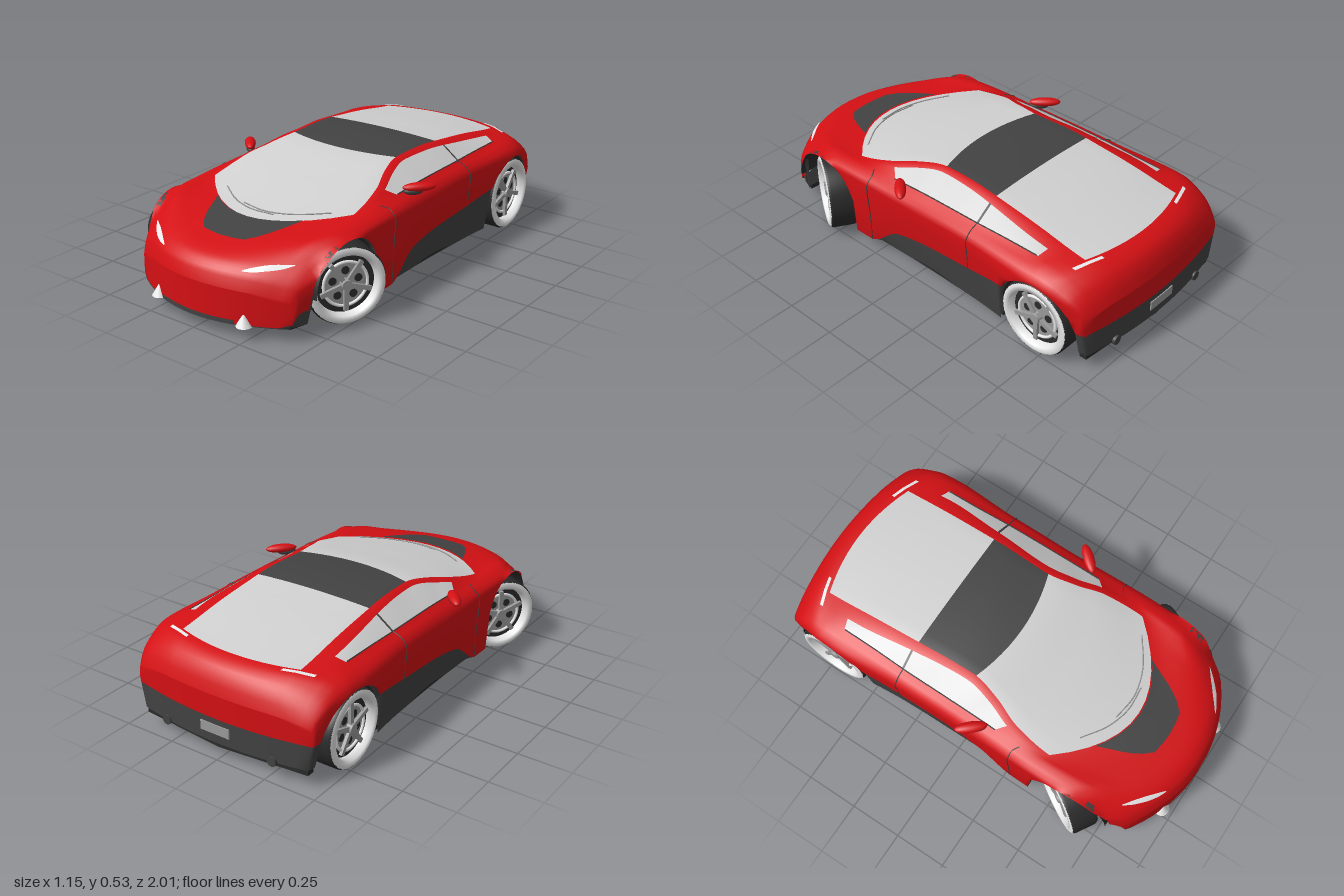
import * as THREE from 'three';

const mat = (name, color) => {
  const m = new THREE.MeshStandardMaterial({ color, side: THREE.DoubleSide });
  m.name = name;
  return m;
};
const paint = mat('red paint', 0xd41014);
const glass = mat('pale glass', 0xd0d0d0);
const trim = mat('dark trim', 0x424242);
const rubber = mat('black rubber', 0x2b2b2b);
const white = mat('white', 0xeeeeee);
const metal = mat('grey metal', 0x9a9a9a);

// Smooth curve without overshoot through [s, value] pairs
function curve(...p) {
  const d = p.slice(1).map((b, i) => (b[1] - p[i][1]) / (b[0] - p[i][0]));
  const m = p.map((_, i) => {
    if (i === 0) return d[0];
    if (i === p.length - 1) return d[i - 1];
    return d[i - 1] * d[i] <= 0 ? 0 : (2 * d[i - 1] * d[i]) / (d[i - 1] + d[i]);
  });
  return (s) => {
    if (s <= p[0][0]) return p[0][1];
    if (s >= p[p.length - 1][0]) return p[p.length - 1][1];
    const i = p.findIndex((q) => q[0] > s) - 1;
    const h = p[i + 1][0] - p[i][0], t = (s - p[i][0]) / h, u = 1 - t;
    return u * u * (1 + 2 * t) * p[i][1] + t * u * u * h * m[i]
      + t * t * (3 - 2 * t) * p[i + 1][1] - t * t * u * h * m[i + 1];
  };
}

// Body lines along the length: how far each section bows, then x and y of each line
const bow = curve([-1, -0.045], [-0.87, -0.1], [-0.6, -0.03], [-0.33, 0], [0.02, 0.1], [0.3, 0.2], [0.65, 0.26], [0.8, 0.2], [1, 0.14]);
const crownY = curve([-1, 0.31], [-0.985, 0.36], [-0.95, 0.415], [-0.9, 0.44], [-0.85, 0.45], [-0.45, 0.506], [-0.18, 0.527], [0.02, 0.515], [0.3, 0.46], [0.65, 0.378], [0.81, 0.345], [0.93, 0.315], [0.985, 0.27], [1, 0.22]);
const railX = curve([-1, 0.3], [-0.87, 0.31], [-0.33, 0.3], [0, 0.29], [0.2, 0.32], [0.42, 0.37], [0.65, 0.39], [0.8, 0.36], [1, 0.28]);
const railY = curve([-1, 0.305], [-0.985, 0.355], [-0.95, 0.41], [-0.9, 0.44], [-0.85, 0.446], [-0.45, 0.497], [-0.18, 0.518], [0.02, 0.514], [0.3, 0.478], [0.65, 0.408], [0.81, 0.375], [0.93, 0.315], [0.985, 0.26], [1, 0.21]);
const sillX = curve([-1, 0.36], [-0.87, 0.37], [-0.65, 0.37], [-0.33, 0.345], [0, 0.325], [0.2, 0.35], [0.42, 0.395], [0.65, 0.415], [0.8, 0.4], [1, 0.33]);
const sillY = curve([-1, 0.3], [-0.985, 0.345], [-0.95, 0.4], [-0.9, 0.432], [-0.85, 0.44], [-0.45, 0.485], [-0.18, 0.506], [0.02, 0.505], [0.3, 0.468], [0.65, 0.41], [0.81, 0.388], [0.93, 0.31], [0.985, 0.25], [1, 0.2]);
const beltX = curve([-1, 0.41], [-0.87, 0.42], [-0.65, 0.415], [-0.33, 0.425], [0.42, 0.43], [0.65, 0.435], [0.8, 0.43], [1, 0.38]);
const beltY = curve([-1, 0.29], [-0.985, 0.335], [-0.95, 0.39], [-0.9, 0.425], [-0.8, 0.438], [-0.33, 0.438], [0.1, 0.435], [0.42, 0.425], [0.65, 0.412], [0.81, 0.39], [0.93, 0.31], [0.985, 0.24], [1, 0.19]);
const flankX = curve([-1, 0.455], [-0.95, 0.485], [-0.87, 0.505], [-0.7, 0.511], [-0.33, 0.496], [0.1, 0.496], [0.65, 0.501], [0.8, 0.497], [0.9, 0.485], [0.95, 0.465], [1, 0.41]);
const flankY = curve([-1, 0.27], [-0.985, 0.3], [-0.95, 0.34], [-0.85, 0.38], [-0.33, 0.38], [0.2, 0.37], [0.65, 0.37], [0.81, 0.36], [0.93, 0.27], [0.985, 0.22], [1, 0.175]);
const doorX = curve([-1, 0.46], [-0.87, 0.505], [-0.7, 0.51], [-0.33, 0.49], [0.1, 0.485], [0.8, 0.495], [0.9, 0.487], [1, 0.42]);
const skirtY = curve([-1, 0.2], [-0.88, 0.2], [-0.55, 0.255], [-0.34, 0.23], [-0.02, 0.2], [0.11, 0.175], [0.29, 0.06], [0.7, 0.07], [0.75, 0.13], [0.82, 0.13], [0.88, 0.066], [1, 0.066]);
const bottomY = curve([-1, 0.085], [-0.9, 0.075], [-0.55, 0.05], [0.3, 0.055], [1, 0.062]);

const AXLES = [{ z: 0.585, r: 0.2 }, { z: -0.71, r: 0.19 }];
const archY = (z) => Math.max(...AXLES.map((a) => {
  const d = Math.abs(z - a.z);
  return d < a.r ? 0.175 + Math.sqrt(a.r * a.r - d * d) : 0;
}));
const zAt = (s, x) => s - bow(s) * (Math.min(x, 0.45) / 0.42) ** 2;

// Half section from the centre line to the bottom edge; f narrows it to close the ends
function section(s, f = 1) {
  const pts = [];
  const xi = railX(s), yc = crownY(s), yi = railY(s);
  for (let i = 0; i <= 6; i++) pts.push([xi * i / 6, yc + (yi - yc) * (i / 6) ** 2]);
  const bx = beltX(s), by = beltY(s), fx = flankX(s), fy = flankY(s);
  pts.push([sillX(s), sillY(s)], [bx, by]);
  const cx = bx + (fx - bx) * 0.8, cy = by + (fy - by) * 0.25;
  for (const t of [1 / 3, 2 / 3, 1]) {
    const u = 1 - t;
    pts.push([u * u * bx + 2 * u * t * cx + t * t * fx, u * u * by + 2 * u * t * cy + t * t * fy]);
  }
  const dx = doorX(s), ky = skirtY(zAt(s, dx * f));
  pts.push([dx, (fy + ky) / 2], [dx - 0.005, ky], [dx - 0.03, Math.min(bottomY(s), ky)]);
  return pts.map(([x, y], h) => {
    const z = zAt(s, x * f);
    return [x * f, h > 8 ? Math.max(y, archY(z)) : y, z];
  });
}
// Point on the shell at station s and signed column q, slightly raised
function onShell(s, q, lift = 0.004) {
  const pts = section(s), a = Math.abs(q), i = Math.min(Math.floor(a), pts.length - 2), t = a - i;
  const p = pts[i].map((v, k) => v + (pts[i + 1][k] - v) * t);
  return new THREE.Vector3((q < 0 ? -1 : 1) * p[0], p[1] + lift, p[2] + lift * Math.sign(s) * 0.7);
}

export function createModel() {
  const car = new THREE.Group();
  car.name = 'sports car';
  const add = (name, geo, material, parent = car) => {
    const m = new THREE.Mesh(geo, material);
    m.name = name;
    parent.add(m);
    return m;
  };

  // Body shell: one lofted surface whose panels share smooth normals
  const rows = [], N = 160, CAP = 8;
  for (let i = 0; i < CAP; i++) rows.push([-1, i / CAP]);
  for (let i = 0; i <= N; i++) rows.push([-1 + (2 * i) / N, 1]);
  for (let i = CAP - 1; i >= 0; i--) rows.push([1, i / CAP]);
  const pos = [], H = 14, C = 2 * H + 1;
  for (const [s, f] of rows) {
    const half = section(s, f);
    for (let j = 0; j < C; j++) {
      const [x, y, z] = half[Math.abs(j - H)];
      pos.push(j < H ? x : -x, y, z);
    }
  }
  const panels = { bodywork: [], windshield: [], roofPanel: [], rearWindow: [], sideWindows: [], doorPillars: [], lowerTrim: [] };
  const all = [];
  const panelAt = (s, strip) => {
    if (strip === 13) return 'lowerTrim';
    if (strip < 6 && s > -0.875 && s < 0.65) return s < -0.325 ? 'rearWindow' : s < 0.025 ? 'roofPanel' : 'windshield';
    if (strip === 7 && s > -0.73 && s < 0.4) return Math.abs(s + 0.33) < 0.008 ? 'doorPillars' : 'sideWindows';
    return 'bodywork';
  };
  for (let i = 0; i < rows.length - 1; i++) {
    for (let j = 0; j < C - 1; j++) {
      const a = i * C + j, quad = [a, a + 1, a + C, a + 1, a + C + 1, a + C];
      all.push(...quad);
      panels[panelAt((rows[i][0] + rows[i + 1][0]) / 2, j < H ? H - 1 - j : j - H)].push(...quad);
    }
  }
  const shell = new THREE.BufferGeometry();
  shell.setAttribute('position', new THREE.Float32BufferAttribute(pos, 3));
  shell.setIndex(all);
  shell.computeVertexNormals();
  const panelMat = { bodywork: paint, roofPanel: trim, doorPillars: trim, lowerTrim: trim };
  for (const [name, index] of Object.entries(panels)) {
    const g = new THREE.BufferGeometry();
    g.setAttribute('position', shell.getAttribute('position'));
    g.setAttribute('normal', shell.getAttribute('normal'));
    g.setIndex(index);
    add(name, g, panelMat[name] || glass);
  }

  // Thin plates laid on the shell: fn(u, v) gives a point
  const patch = (name, material, fn, nu = 16, nv = 6) => {
    const g = new THREE.PlaneGeometry(1, 1, nu, nv), p = g.attributes.position;
    for (let i = 0; i < p.count; i++) {
      const v = fn(p.getX(i) + 0.5, p.getY(i) + 0.5);
      p.setXYZ(i, v.x, v.y, v.z);
    }
    g.computeVertexNormals();
    add(name, g, material);
  };
  patch('hoodPanel', trim, (u, v) => {
    const s = 0.653 + 0.157 * v, w = 0.24 - 0.1 * v - 0.03 * v ** 6;
    return onShell(s, (2 * u - 1) * w * 6 / railX(s));
  });
  patch('frontGrilleStrip', trim, (u, v) => {
    const x = (u - 0.5) * 0.4;
    return new THREE.Vector3(x, 0.063 + 0.02 * v, zAt(1, Math.abs(x)) + 0.004);
  });
  const tube = (name, pts, r, material) =>
    add(name, new THREE.TubeGeometry(new THREE.CatmullRomCurve3(pts), 24, r, 5), material);

  for (const side of [1, -1]) {
    patch('headlight', white, (u, v) =>
      onShell(0.968 - 0.036 * u + (v - 0.5) * 0.024 * Math.sin(Math.PI * (0.05 + 0.9 * u)), side * (4.4 + 3.2 * u), 0.005));
    patch('tailLight', white, (u, v) => onShell(-0.893 + (v - 0.5) * 0.014, side * (4.8 + 2.4 * u)));
    for (const s of [0.57, -0.33]) {
      tube('doorSeam', [8, 9, 10, 11, 12, 13].map((q) => onShell(s, side * q, 0)), 0.0025, trim);
    }
    tube('windowSeal', [-0.72, -0.5, -0.3, -0.1, 0.1, 0.25, 0.4].map((s) => onShell(s, side * 8, 0.001)), 0.003, trim);

    // Fog lamp and exhaust
    const fog = add('fogLamp', new THREE.ConeGeometry(0.036, 0.06, 16), white);
    fog.position.set(side * 0.235, 0.09, 0.95);
    const pipe = add('exhaustPipe', new THREE.CylinderGeometry(0.022, 0.022, 0.1, 16), trim);
    pipe.rotation.x = Math.PI / 2;
    pipe.position.set(side * 0.28, 0.09, -0.94);

    // Door mirror
    const mirror = new THREE.Group();
    mirror.name = 'doorMirror';
    const cap = add('mirrorCap', new THREE.SphereGeometry(1, 20, 12), paint, mirror);
    cap.scale.set(0.075, 0.02, 0.026);
    const base = add('mirrorBase', new THREE.SphereGeometry(1, 16, 10), trim, mirror);
    base.scale.set(0.045, 0.018, 0.02);
    base.position.set(-0.025, -0.017, 0);
    mirror.position.set(side * 0.483, 0.447, 0.075);
    mirror.rotation.y = side * 0.83;
    mirror.scale.x = side;
    car.add(mirror);

    // Wheel wells
    for (const a of AXLES) {
      const well = add('wheelWell', new THREE.CylinderGeometry(a.r - 0.003, a.r - 0.003, 0.2, 32, 1, true, 0, Math.PI), rubber);
      well.rotation.z = Math.PI / 2;
      well.position.set(side * 0.375, 0.175, a.z);
      const wall = add('wheelWellWall', new THREE.CircleGeometry(a.r, 32, 0, Math.PI), rubber);
      wall.rotation.y = Math.PI / 2;
      wall.position.set(side * 0.277, 0.175, a.z);
      const lower = add('wheelWellLowerWall', new THREE.BoxGeometry(0.01, 0.12, a.r * 2), rubber);
      lower.position.set(side * 0.277, 0.118, a.z);
    }
  }

  // Wipers
  for (const [a, b] of [[-0.25, 0.1], [-0.08, 0.31]]) {
    tube('wiper', [0, 0.33, 0.66, 1].map((t) => {
      const s = 0.585 + 0.025 * t, x = a + (b - a) * t;
      return onShell(s, x * 6 / railX(s), 0.005);
    }), 0.003, metal);
  }

  // Number plate and floor
  add('numberPlate', new THREE.BoxGeometry(0.15, 0.045, 0.008), metal).position.set(0, 0.15, -1.0);
  const half = [[0.25, 0.93], [0.4, 0.86], [0.42, 0.79], [0.28, 0.785], [0.28, 0.38], [0.455, 0.375],
    [0.46, -0.515], [0.28, -0.52], [0.28, -0.9], [0.43, -0.91], [0.43, -0.945]];
  const outline = [[0, 0.985], ...half, [0, -0.985], ...half.map(([x, z]) => [-x, z]).reverse()];
  const floor = new THREE.ExtrudeGeometry(new THREE.Shape(outline.map(([x, z]) => new THREE.Vector2(x, z))),
    { depth: 0.022, bevelEnabled: false });
  floor.rotateX(Math.PI / 2);
  add('floor', floor, rubber).position.y = 0.078;

  // Wheels; the front pair is steered
  const lathe = (pts) => new THREE.LatheGeometry(pts.map(([r, y]) => new THREE.Vector2(r, y)), 48);
  const sideProfile = [[0.169, 0.062], [0.158, 0.068], [0.136, 0.066], [0.13, 0.03]];
  const tread = lathe([[0.168, -0.063], [0.175, -0.05], [0.175, 0.05], [0.168, 0.063]]);
  const outerWall = lathe(sideProfile);
  const innerWall = lathe(sideProfile.map(([r, y]) => [r, -y]).reverse());
  const makeWheel = (x, z, steer) => {
    const w = new THREE.Group();
    w.name = steer ? 'frontWheel' : 'rearWheel';
    add('tread', tread, rubber, w);
    add('outerSidewall', outerWall, white, w);
    add('innerSidewall', innerWall, white, w);
    add('wheelBarrel', new THREE.CylinderGeometry(0.132, 0.132, 0.06, 40), rubber, w);
    add('brakeDisc', new THREE.CylinderGeometry(0.095, 0.095, 0.07, 40), metal, w);
    const ring = add('rimRing', new THREE.TorusGeometry(0.098, 0.007, 8, 40), white, w);
    ring.rotation.x = Math.PI / 2;
    ring.position.y = 0.038;
    for (let i = 0; i < 5; i++) {
      const arm = new THREE.Group();
      arm.name = 'spokeArm';
      arm.rotation.y = (i * Math.PI * 2) / 5;
      add('spoke', new THREE.BoxGeometry(0.1, 0.014, 0.02), metal, arm).position.set(0.068, 0.044, 0);
      add('spokeGap', new THREE.CylinderGeometry(0.018, 0.018, 0.004, 12), rubber, arm).position.set(-0.06, 0.036, 0);
      w.add(arm);
    }
    add('hub', new THREE.CylinderGeometry(0.022, 0.028, 0.03, 20), metal, w).position.y = 0.045;
    w.position.set(x, 0.175, z);
    w.rotation.set(0, steer, x > 0 ? -Math.PI / 2 : Math.PI / 2);
    car.add(w);
  };
  for (const side of [1, -1]) {
    makeWheel(side * 0.436, 0.565, -0.54);
    makeWheel(side * 0.43, -0.71, 0);
  }
  for (const z of [0.565, -0.71]) {
    const axle = add('axle', new THREE.CylinderGeometry(0.025, 0.025, 0.84, 16), trim);
    axle.rotation.z = Math.PI / 2;
    axle.position.set(0, 0.175, z);
  }
  return car;
}
